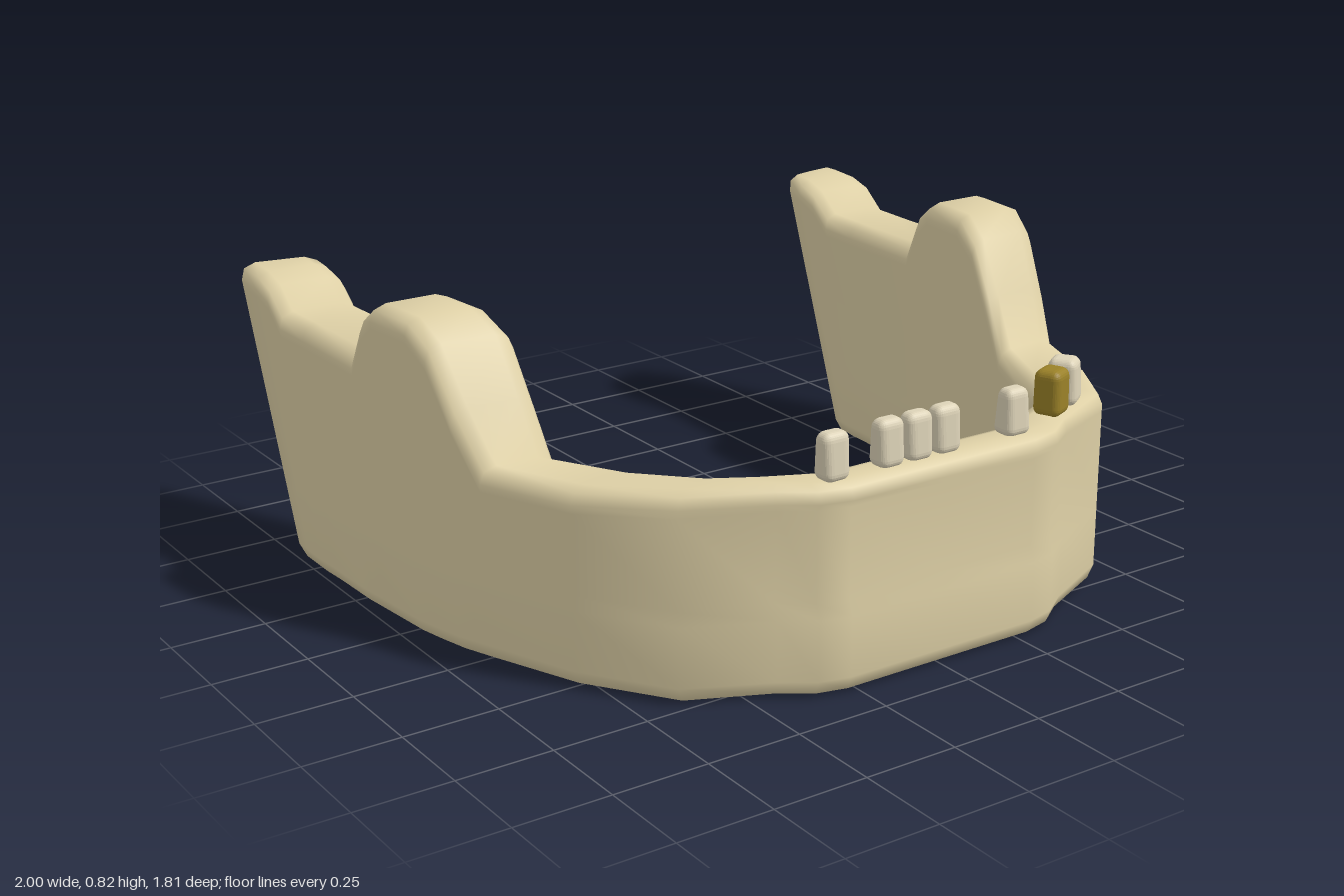
import * as THREE from 'three';
import { RoundedBoxGeometry } from 'three/addons/geometries/RoundedBoxGeometry.js';

const bone = new THREE.MeshStandardMaterial({ color: 0xded0a6 });
const enamel = new THREE.MeshStandardMaterial({ color: 0xddd3b8 });
const gold = new THREE.MeshStandardMaterial({ color: 0x9a8128 });

// Stations from chin to rear tip: outer x, z, inner x, z, top height
const half = [
  [0, 0.905, 0, 0.77, 0.53],
  [0.28, 0.905, 0.27, 0.77, 0.53],
  [0.36, 0.885, 0.36, 0.73, 0.53],
  [0.44, 0.83, 0.42, 0.70, 0.53],
  [0.65, 0.73, 0.50, 0.66, 0.53],
  [0.80, 0.51, 0.60, 0.47, 0.505],
  [0.90, 0.26, 0.70, 0.27, 0.50],
  [0.93, 0.18, 0.71, 0.20, 0.63],
  [0.95, 0.10, 0.72, 0.12, 0.77],
  [0.965, 0.03, 0.74, 0.03, 0.82],
  [0.98, -0.12, 0.755, -0.12, 0.82],
  [0.985, -0.17, 0.76, -0.17, 0.78],
  [0.99, -0.22, 0.765, -0.22, 0.675],
  [0.995, -0.5, 0.77, -0.5, 0.675],
  [1, -0.63, 0.775, -0.63, 0.675],
  [1, -0.7, 0.775, -0.7, 0.73],
  [1, -0.77, 0.78, -0.77, 0.75],
  [1, -0.865, 0.78, -0.825, 0.755],
  [0.96, -0.91, 0.83, -0.87, 0.74],
];

// Rounded upright section; the rear end leans backward with height
function section([ox, oz, ix, iz, top], base, dent) {
  const side = [
    [0.05, base], [0.015, base + 0.01], [0, base + 0.045], [0, 0.2], [dent, 0.24],
    [dent, top - 0.06], [0, top - 0.04], [0.012, top - 0.012], [0.045, top],
  ];
  const width = Math.hypot(ix - ox, iz - oz);
  const place = (inset, y) => {
    const u = inset / width;
    const x = ox + (ix - ox) * u;
    let z = oz + (iz - oz) * u;
    if (z < -0.22) z = THREE.MathUtils.lerp(-0.22 + (z + 0.22) * 0.536, z, y / top);
    return [x, y, z];
  };
  return [
    ...side.map(([d, y]) => place(d, y)),
    ...side.slice().reverse().map(([d, y]) => place(width - (d === dent ? 0 : d), y)),
  ];
}

function jawGeometry() {
  const rings = half.map((s, i) =>
    section(s, i === half.length - 1 ? 0.035 : 0, i < 4 ? 0.014 : 0));
  const mirrored = rings.slice(1).reverse().map(r => r.map(([x, y, z]) => [-x, y, z]));
  const all = [...mirrored, ...rings];
  const n = all[0].length;
  const positions = all.flat(2);
  const index = [];
  for (let i = 0; i < all.length - 1; i++) {
    for (let j = 0; j < n; j++) {
      const k = (j + 1) % n;
      const a = i * n + j, b = i * n + k, c = a + n, d = b + n;
      index.push(a, c, b, b, c, d);
    }
  }
  // Rear caps
  const last = (all.length - 1) * n;
  for (let j = 1; j < n - 1; j++) {
    index.push(0, j, j + 1);
    index.push(last, last + j + 1, last + j);
  }
  const g = new THREE.BufferGeometry();
  g.setAttribute('position', new THREE.Float32BufferAttribute(positions, 3));
  g.setIndex(index);
  g.computeVertexNormals();
  return g;
}

// Rounded tooth, scaled toward the crown in width and depth
function tooth(name, x, z, w, d, topW, topD, turn, material) {
  const h = 0.12;
  const g = new RoundedBoxGeometry(w, h, d, 3, 0.022);
  const p = g.attributes.position;
  for (let i = 0; i < p.count; i++) {
    const t = p.getY(i) / h + 0.5;
    p.setX(i, p.getX(i) * (1 + (topW - 1) * t));
    p.setZ(i, p.getZ(i) * (1 + (topD - 1) * t));
  }
  g.computeVertexNormals();
  const m = new THREE.Mesh(g, material);
  m.name = name;
  m.position.set(x, 0.584, z);
  m.rotation.y = turn;
  return m;
}

export function createModel() {
  const group = new THREE.Group();
  group.name = 'lowerJaw';
  const jaw = new THREE.Mesh(jawGeometry(), bone);
  jaw.name = 'jawBone';
  group.add(jaw);

  // Front teeth
  for (const x of [-0.295, -0.135, -0.05, 0.035]) {
    group.add(tooth('incisor', x, 0.837, 0.074, 0.066, 1.02, 0.7, 0, enamel));
  }
  group.add(tooth('canine', 0.25, 0.837, 0.08, 0.068, 0.85, 0.7, 0, enamel));

  // Side teeth
  group.add(tooth('goldTooth', 0.425, 0.782, 0.08, 0.075, 1, 0.95, 0.4, gold));
  group.add(tooth('premolar', 0.51, 0.733, 0.08, 0.085, 0.9, 0.85, 0.6, enamel));
  return group;
}
